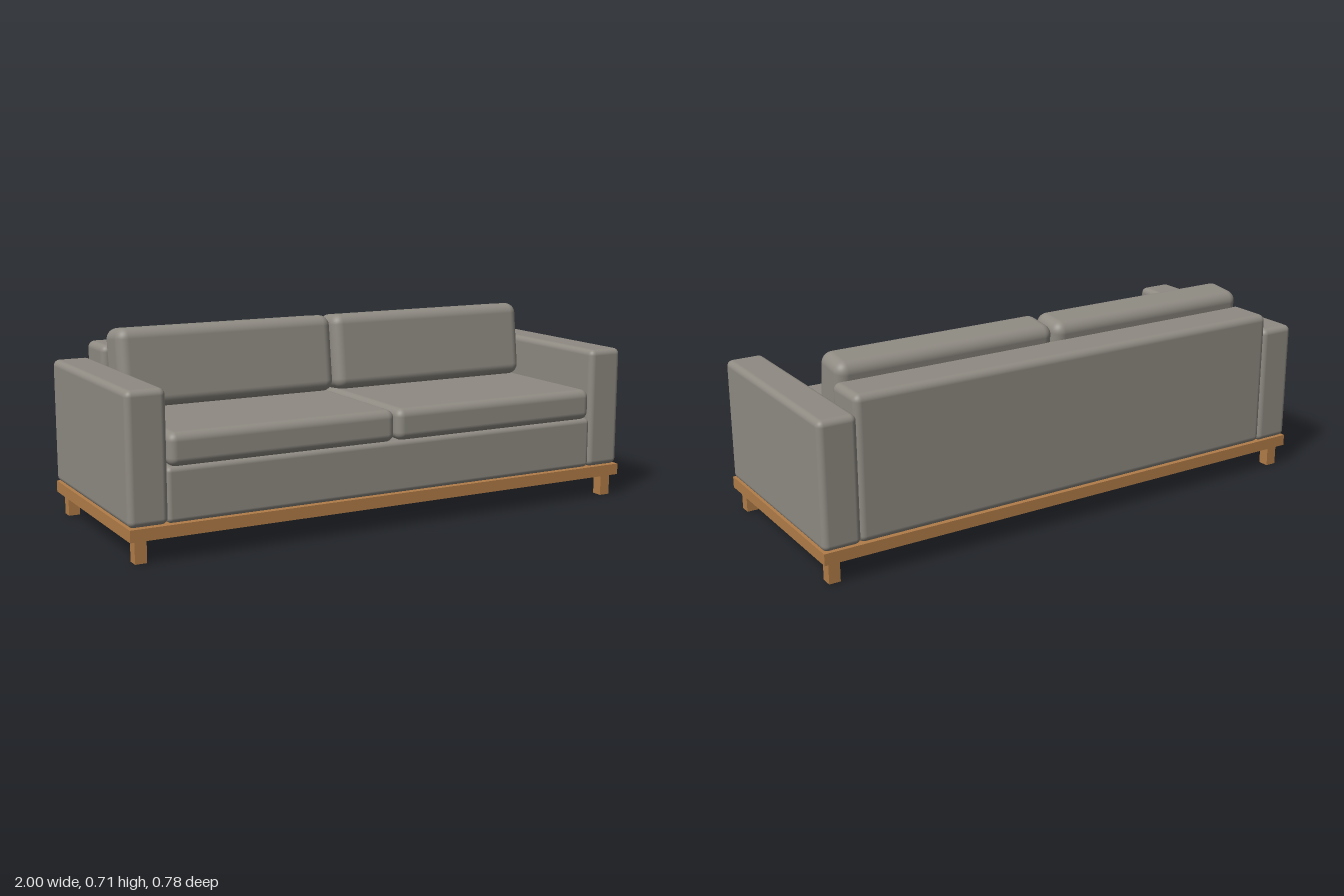
import * as THREE from 'three';
import { RoundedBoxGeometry } from 'three/addons/geometries/RoundedBoxGeometry.js';

export function createModel() {
  const sofa = new THREE.Group();
  sofa.name = 'sofa';
  const fabric = new THREE.MeshStandardMaterial({ color: 0x8f8b83 });
  fabric.name = 'grey fabric';
  const wood = new THREE.MeshStandardMaterial({ color: 0xb27d48 });
  wood.name = 'oak wood';

  // Adds a block spanning the given ranges; a radius rounds its edges
  function block(name, material, [x0, x1], [y0, y1], [z0, z1], radius = 0) {
    const size = [x1 - x0, y1 - y0, z1 - z0];
    const geometry = radius
      ? new RoundedBoxGeometry(...size, 5, radius)
      : new THREE.BoxGeometry(...size);
    const mesh = new THREE.Mesh(geometry, material);
    mesh.name = name;
    mesh.position.set((x0 + x1) / 2, (y0 + y1) / 2, (z0 + z1) / 2);
    sofa.add(mesh);
    return mesh;
  }

  // Wooden platform
  block('platform', wood, [-1, 1], [0.081, 0.123], [-0.389, 0.389]);

  // Upholstered body
  block('seatBase', fabric, [-0.865, 0.865], [0.123, 0.313], [-0.3, 0.38], 0.018);
  block('backRest', fabric, [-0.868, 0.868], [0.123, 0.638], [-0.389, -0.215], 0.025);

  for (const side of [1, -1]) {
    const label = side > 0 ? 'left' : 'right';
    const span = (a, b) => (side > 0 ? [a, b] : [-b, -a]);

    block(label + 'Arm', fabric, span(0.86, 1), [0.123, 0.576], [-0.389, 0.383], 0.022);
    block(label + 'SeatCushion', fabric, span(0.004, 0.857), [0.311, 0.426], [-0.215, 0.387], 0.03);

    // Back cushion leans against the back rest
    const cushion = block(label + 'BackCushion', fabric, span(0.004, 0.853),
      [0.419, 0.706], [-0.228, -0.073], 0.04);
    cushion.rotation.x = -0.12;

    // Square legs at both ends
    block(label + 'FrontLeg', wood, span(0.936, 0.978), [0, 0.081], [0.326, 0.368]);
    block(label + 'BackLeg', wood, span(0.936, 0.978), [0, 0.081], [-0.368, -0.326]);
  }
  return sofa;
}
